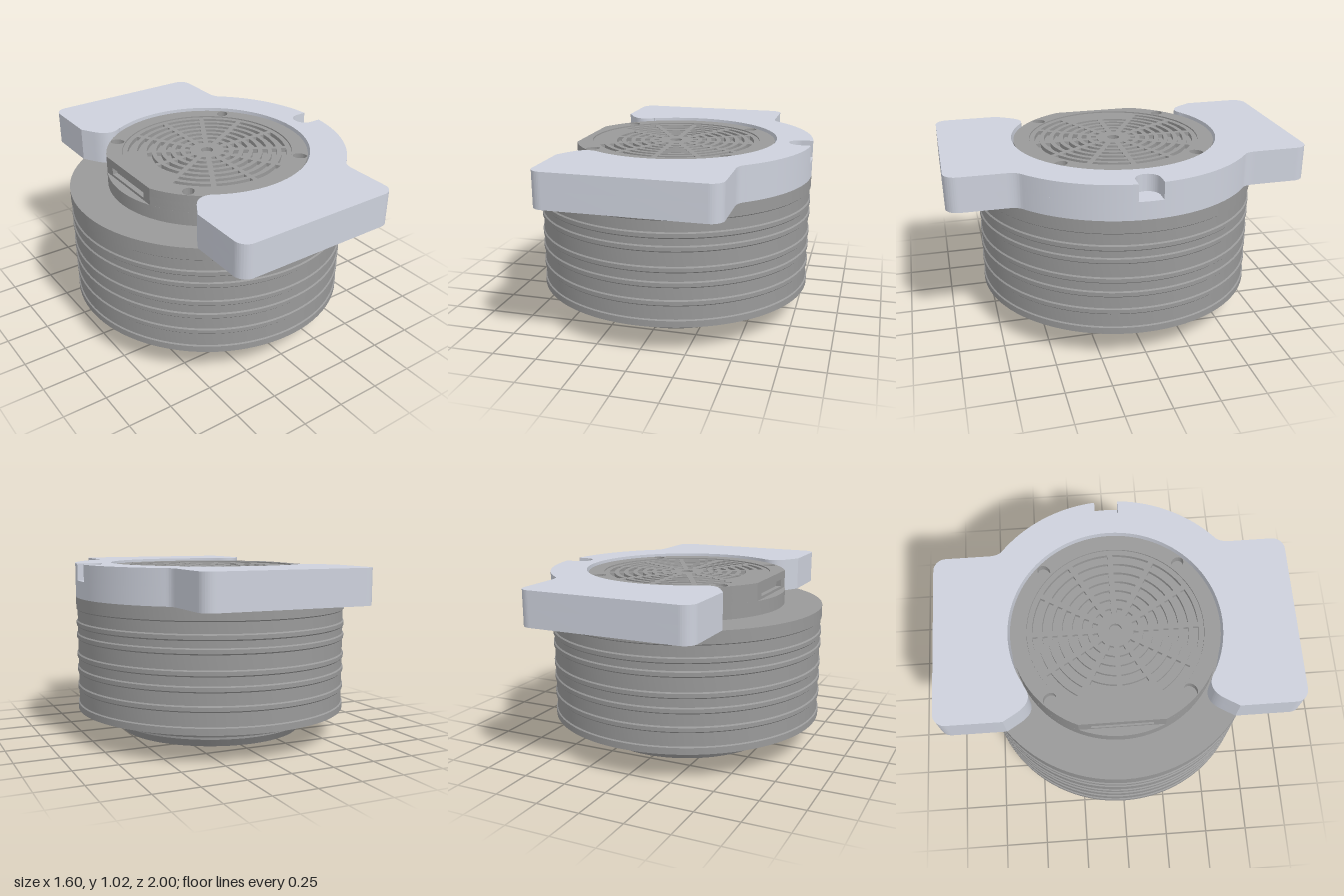
import * as THREE from 'three';
import { toCreasedNormals } from 'three/addons/utils/BufferGeometryUtils.js';

const TAU = Math.PI * 2;
const bodyMat = new THREE.MeshStandardMaterial({ color: 0x999999 });
const collarMat = new THREE.MeshStandardMaterial({ color: 0xcdd1dc });

function add(group, name, geo, mat) {
  const mesh = new THREE.Mesh(toCreasedNormals(geo, 0.4), mat);
  mesh.name = name;
  group.add(mesh);
  return mesh;
}

// Flat outline raised from y0 to y1
function slab(shape, y0, y1, segs = 32) {
  const geo = new THREE.ExtrudeGeometry(shape, { depth: y1 - y0, bevelEnabled: false, curveSegments: segs });
  return geo.rotateX(-Math.PI / 2).translate(0, y0, 0);
}

function lathe(points) {
  return new THREE.LatheGeometry(points.map(p => new THREE.Vector2(p[0], p[1])), 96);
}

// Ring sector with square ends
function arcSlot(r0, r1, a0, a1) {
  const path = new THREE.Path();
  path.absarc(0, 0, r1, a0, a1, false);
  path.absarc(0, 0, r0, a1, a0, true);
  path.closePath();
  return path;
}

function circlePath(r) {
  return new THREE.Path().absarc(0, 0, r, 0, TAU, false);
}

// Stepped base, ribbed wall and flat top in one turned profile
function bodyProfile() {
  const pts = [[0, 0.1], [0.15, 0.1], [0.15, 0.025], [0.24, 0.025], [0.25, 0.006], [0.32, 0],
    [0.32, 0.02], [0.43, 0.02], [0.43, 0.035], [0.54, 0.035], [0.57, 0.08], [0.57, 0.115],
    [0.65, 0.115], [0.67, 0.15], [0.67, 0.165], [0.8, 0.165], [0.8, 0.202], [0.793, 0.208]];
  for (const y of [0.302, 0.405, 0.488, 0.602, 0.675]) {
    pts.push([0.793, y - 0.018], [0.8, y - 0.011], [0.8, y + 0.011], [0.793, y + 0.018]);
  }
  pts.push([0.793, 0.754], [0.8, 0.76], [0.8, 0.83], [0, 0.83]);
  return pts;
}

// Open collar with two tabs; the notch cuts into its +x side
function collarShape(notched) {
  const s = new THREE.Shape();
  const a = 0.87, h = Math.atan2(0.52, -0.29), n = Math.asin(0.067 / 0.8);
  const start = notched ? n : 0;
  s.absarc(0, 0, 0.8, start, a, false);
  s.quadraticCurveTo(0.49, 0.635, 0.49, 0.69);
  s.lineTo(0.49, 0.93);
  s.absarc(0.42, 0.93, 0.07, 0, Math.PI / 2, false);
  s.absarc(-0.42, 0.93, 0.07, Math.PI / 2, Math.PI, false);
  s.lineTo(-0.49, 0.63);
  s.lineTo(-0.445, 0.555);
  s.quadraticCurveTo(-0.38, 0.45, -0.29, 0.52);
  s.absarc(0, 0, 0.592, h, -h, true);
  s.quadraticCurveTo(-0.38, -0.45, -0.445, -0.555);
  s.lineTo(-0.49, -0.63);
  s.lineTo(-0.49, -0.93);
  s.absarc(-0.42, -0.93, 0.07, Math.PI, Math.PI * 1.5, false);
  s.absarc(0.42, -0.93, 0.07, Math.PI * 1.5, TAU, false);
  s.lineTo(0.49, -0.69);
  s.quadraticCurveTo(0.49, -0.635, 0.8 * Math.cos(a), -0.8 * Math.sin(a));
  s.absarc(0, 0, 0.8, -a, -start, false);
  if (notched) s.absarc(0.735, 0, 0.067, -Math.PI / 2, Math.PI / 2, true);
  s.closePath();
  return s;
}

// Round outline with a flat on its -x side, optionally with a pocket
function flattedShape(pocket) {
  const s = new THREE.Shape();
  const a = Math.PI - Math.acos(0.53 / 0.58);
  s.absarc(0, 0, 0.58, -a, a, false);
  if (pocket) {
    for (const [x, y] of [[-0.53, 0.17], [-0.5, 0.17], [-0.5, -0.17], [-0.53, -0.17]]) s.lineTo(x, y);
  }
  s.closePath();
  return s;
}

// Rim around the grille with four oval pits on the diagonals
function rimShape() {
  const s = flattedShape(false);
  s.holes.push(circlePath(0.49));
  for (let i = 0; i < 4; i++) {
    const a = Math.PI / 4 + i * Math.PI / 2;
    s.holes.push(new THREE.Path().absellipse(0.536 * Math.cos(a), 0.536 * Math.sin(a),
      0.04, 0.032, 0, TAU, false, a));
  }
  return s;
}

// Grille plate: rings of curved slots split by twelve spokes
function grilleShape() {
  const s = new THREE.Shape().absarc(0, 0, 0.485, 0, TAU, false);
  const radii = [0.1, 0.155, 0.21, 0.265, 0.32, 0.375, 0.43];
  radii.forEach((r, ring) => {
    for (let i = 0; i < 12; i++) {
      // the two outer rings stop short of the flat side
      if (ring > 4 && (i === 5 || i === 6)) continue;
      const gap = 0.014 / r;
      s.holes.push(arcSlot(r, r + 0.029, i * TAU / 12 + gap, (i + 1) * TAU / 12 - gap));
    }
  });
  s.holes.push(circlePath(0.035));
  return s;
}

export function createModel() {
  const model = new THREE.Group();
  model.name = 'roundUnitWithCollar';

  add(model, 'ribbedBody', lathe(bodyProfile()), bodyMat);

  // Mounting collar, notched in its upper half
  const collar = new THREE.Group();
  collar.name = 'mountingCollar';
  add(collar, 'collarLower', slab(collarShape(false), 0.83, 0.93), collarMat);
  add(collar, 'collarUpper', slab(collarShape(true), 0.93, 1.025), collarMat);
  model.add(collar);

  // Inner head: round shelf, flatted section with pocket, rim
  const head = new THREE.Group();
  head.name = 'innerHead';
  add(head, 'shelf', lathe([[0.58, 0.82], [0.58, 0.91], [0, 0.91]]), bodyMat);
  add(head, 'flatBottom', slab(flattedShape(false), 0.91, 0.925), bodyMat);
  add(head, 'flatPocket', slab(flattedShape(true), 0.925, 0.965), bodyMat);
  add(head, 'rim', slab(rimShape(), 0.965, 1.01, 48), bodyMat);
  model.add(head);

  // Grille over its backing disc
  const grille = new THREE.Group();
  grille.name = 'grille';
  add(grille, 'grilleBacking', lathe([[0.489, 0.96], [0.489, 0.98], [0, 0.98]]), bodyMat);
  add(grille, 'grillePlate', slab(grilleShape(), 0.98, 1.003, 10), bodyMat);
  add(grille, 'grilleEdge', slab((() => {
    const s = new THREE.Shape().absarc(0, 0, 0.489, 0, TAU, false);
    s.holes.push(circlePath(0.478));
    return s;
  })(), 0.98, 1.003, 48), bodyMat);
  model.add(grille);

  return model;
}
